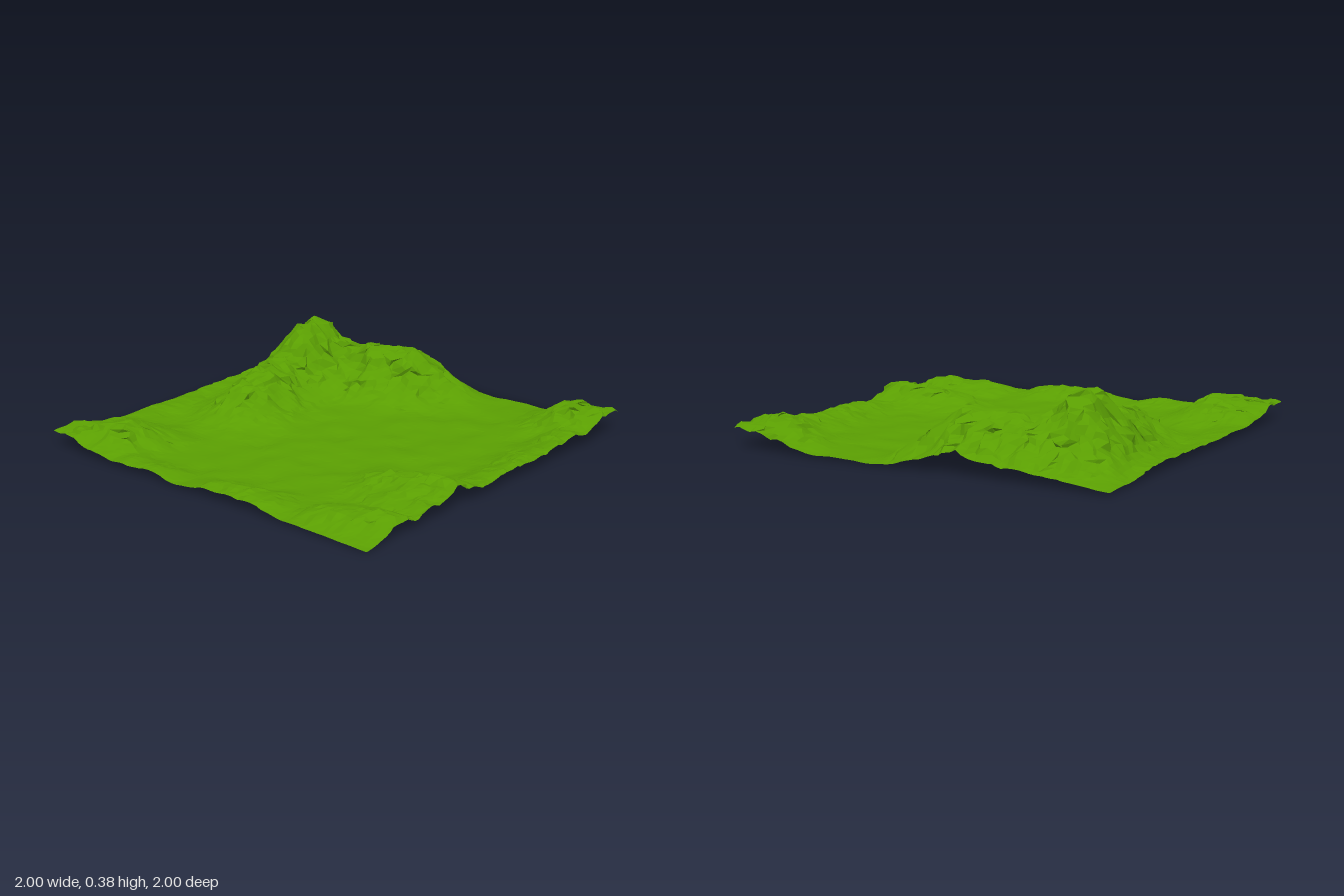
import * as THREE from 'three';

// Ridge lines: [x0, z0, height0, x1, z1, height1, width]
const RIDGES = [
  [-0.67, -0.60, 0.33, -0.66, -0.49, 0.33, 0.19], // main peak
  [-0.60, -0.58, 0.22, -0.40, -0.66, 0.18, 0.17], // saddle
  [-0.31, -0.68, 0.22, -0.14, -0.75, 0.21, 0.18], // rear ridge
  [-0.12, -0.77, 0.17, 0.03, -0.84, 0.12, 0.13],
  [-0.66, -0.72, 0.20, -0.25, -0.84, 0.17, 0.21], // broad back slope
  [-0.67, -0.38, 0.20, -0.64, -0.20, 0.18, 0.18], // shoulder
  [-0.63, -0.15, 0.16, -0.58, 0.05, 0.17, 0.18],  // second hill
  [-0.93, 0.90, 0.10, -0.75, 0.78, 0.12, 0.18],   // corner hills
  [-0.90, 0.66, 0.06, -0.68, 0.64, 0.06, 0.14],
  [0.64, 0.39, 0.08, 0.92, 0.34, 0.12, 0.16],
  [0.78, 0.52, 0.06, 0.98, 0.54, 0.06, 0.12],
  [0.82, -0.84, 0.15, 1.00, -0.95, 0.11, 0.18],
  [0.94, -0.60, 0.08, 0.95, 0.10, 0.05, 0.13],    // low banks at the rim
  [0.65, 0.82, 0.06, 0.92, 0.76, 0.08, 0.13],
  [0.05, 0.95, 0.05, 0.32, 0.91, 0.06, 0.12],
  [-0.50, 0.93, 0.04, -0.30, 0.95, 0.03, 0.10],
  [-1.00, -0.60, 0.03, -1.00, 0.60, 0.03, 0.15],
];

// Seeded lattice value in -1..1
function hash(i, j) {
  let n = Math.imul(i + 101, 374761393) ^ Math.imul(j + 211, 668265263);
  n = Math.imul(n ^ (n >>> 13), 1274126177);
  return ((n ^ (n >>> 16)) >>> 0) / 2147483648 - 1;
}

// Smooth value noise
function noise(x, z) {
  const i = Math.floor(x), j = Math.floor(z);
  const u = THREE.MathUtils.smoothstep(x - i, 0, 1);
  const v = THREE.MathUtils.smoothstep(z - j, 0, 1);
  const { lerp } = THREE.MathUtils;
  return lerp(
    lerp(hash(i, j), hash(i + 1, j), u),
    lerp(hash(i, j + 1), hash(i + 1, j + 1), u), v);
}

// Blend of all ridges, each falling off from its line
function hills(x, z) {
  let sum = 0;
  for (const [x0, z0, h0, x1, z1, h1, w] of RIDGES) {
    const dx = x1 - x0, dz = z1 - z0;
    const t = THREE.MathUtils.clamp(
      ((x - x0) * dx + (z - z0) * dz) / (dx * dx + dz * dz), 0, 1);
    const d = Math.hypot(x - x0 - t * dx, z - z0 - t * dz) / w;
    sum += ((h0 + t * (h1 - h0)) * Math.exp(-d * d)) ** 3;
  }
  return Math.cbrt(sum);
}

export function createModel() {
  const group = new THREE.Group();
  const geometry = new THREE.PlaneGeometry(2, 2, 72, 72).rotateX(-Math.PI / 2);
  const p = geometry.attributes.position;

  // Raise the sheet; roughness grows with height
  for (let k = 0; k < p.count; k++) {
    const x = p.getX(k), z = p.getZ(k);
    const base = hills(x, z);
    const rough = Math.min(base, 0.13);
    const y = base + 0.012 + 0.008 * noise(x * 9, z * 9)
      + rough * (0.06 * noise(x * 9 + 5, z * 9) + 0.15 * noise(x * 28, z * 28 + 9));
    // Sideways shift folds the slopes; the rim stays straight
    const shift = 0.01 + 0.13 * rough;
    const sx = Math.abs(x) > 0.999 ? 0 : shift * noise(x * 30 + 40, z * 30);
    const sz = Math.abs(z) > 0.999 ? 0 : shift * noise(x * 30, z * 30 + 70);
    p.setXYZ(k,
      THREE.MathUtils.clamp(x + sx, -1, 1), y,
      THREE.MathUtils.clamp(z + sz, -1, 1));
  }

  geometry.computeBoundingBox();
  geometry.translate(0, -geometry.boundingBox.min.y, 0);
  geometry.computeVertexNormals();

  const terrain = new THREE.Mesh(geometry, new THREE.MeshStandardMaterial({
    color: 0x5a9e02, flatShading: true, side: THREE.DoubleSide,
  }));
  terrain.name = 'terrain';
  group.add(terrain);
  return group;
}
